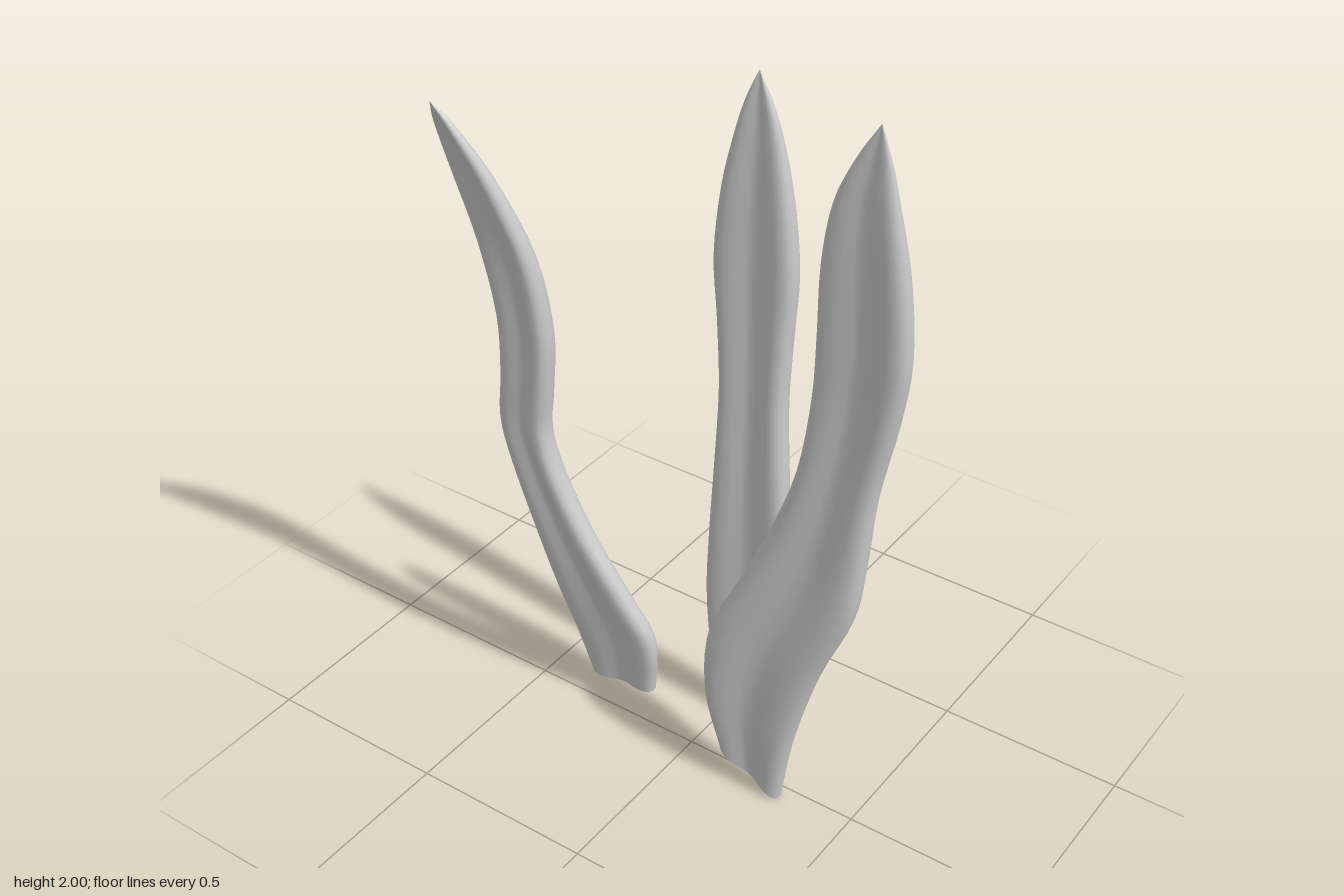
import * as THREE from 'three';

// Half outline of the blade section: [position across the width -1..1, share of half thickness].
// Rounded rims with a thinner waist between them.
const HALF = [
  [-1, 0.3], [-0.93, 0.72], [-0.8, 0.97], [-0.62, 1], [-0.4, 0.85], [-0.18, 0.6], [0, 0.5],
  [0.18, 0.6], [0.4, 0.85], [0.62, 1], [0.8, 0.97], [0.93, 0.72], [1, 0.3],
];
const SECTION = [...HALF, ...HALF.map(([u, v]) => [-u, -v])];

// Stations from root to tip: front rim z, y, x, back rim z, y, x, half thickness.
const BLADES = {
  frontBlade: [
    [0.305, 0.005, -0.037, 0.13, 0.1, -0.045, 0.024],
    [0.34, 0.22, -0.042, 0.085, 0.3, -0.054, 0.031],
    [0.405, 0.46, -0.04, 0.1, 0.5, -0.052, 0.033],
    [0.49, 0.68, -0.033, 0.18, 0.68, -0.04, 0.033],
    [0.513, 0.85, -0.026, 0.253, 0.85, -0.03, 0.033],
    [0.53, 1.05, -0.023, 0.32, 1.05, -0.024, 0.033],
    [0.575, 1.27, -0.028, 0.354, 1.27, -0.025, 0.033],
    [0.6, 1.45, -0.038, 0.365, 1.45, -0.032, 0.033],
    [0.59, 1.65, -0.05, 0.374, 1.63, -0.044, 0.029],
    [0.56, 1.82, -0.058, 0.403, 1.79, -0.056, 0.019],
    [0.537, 1.92, -0.061, 0.455, 1.91, -0.06, 0.009],
    [0.51, 2, -0.063, 0.51, 2, -0.063, 0],
  ],
  middleBlade: [
    [0.15, 0.05, 0.172, -0.022, 0.05, 0.172, 0.026],
    [0.175, 0.2, 0.172, -0.05, 0.2, 0.172, 0.031],
    [0.188, 0.4, 0.172, -0.065, 0.4, 0.172, 0.033],
    [0.182, 0.6, 0.172, -0.058, 0.6, 0.172, 0.033],
    [0.168, 0.82, 0.172, -0.043, 0.82, 0.172, 0.033],
    [0.158, 1.05, 0.172, -0.03, 1.05, 0.172, 0.033],
    [0.168, 1.25, 0.172, -0.038, 1.25, 0.172, 0.033],
    [0.178, 1.42, 0.172, -0.05, 1.42, 0.172, 0.032],
    [0.16, 1.6, 0.172, -0.032, 1.6, 0.172, 0.027],
    [0.128, 1.75, 0.172, 0.002, 1.75, 0.172, 0.017],
    [0.097, 1.84, 0.172, 0.03, 1.84, 0.172, 0.009],
    [0.062, 1.91, 0.172, 0.062, 1.91, 0.172, 0],
  ],
  backBlade: [
    [-0.148, 0.09, 0.036, -0.35, 0.065, 0.04, 0.022],
    [-0.13, 0.27, 0.012, -0.39, 0.22, 0.024, 0.029],
    [-0.19, 0.41, -0.015, -0.43, 0.37, 0, 0.03],
    [-0.29, 0.6, -0.045, -0.48, 0.58, -0.025, 0.031],
    [-0.36, 0.77, -0.064, -0.53, 0.77, -0.038, 0.031],
    [-0.388, 0.9, -0.073, -0.549, 0.89, -0.045, 0.031],
    [-0.373, 1.03, -0.079, -0.533, 1.03, -0.052, 0.031],
    [-0.358, 1.2, -0.087, -0.53, 1.2, -0.058, 0.031],
    [-0.38, 1.4, -0.108, -0.565, 1.41, -0.075, 0.028],
    [-0.45, 1.6, -0.15, -0.596, 1.6, -0.118, 0.02],
    [-0.525, 1.74, -0.187, -0.597, 1.74, -0.17, 0.01],
    [-0.578, 1.805, -0.205, -0.578, 1.805, -0.205, 0],
  ],
};

// Lofts the section along smooth curves through the stations.
function bladeGeometry(stations, rings = 44) {
  const spline = (pick) => new THREE.CatmullRomCurve3(stations.map(pick), false, 'catmullrom', 0.5);
  const front = spline((s) => new THREE.Vector3(s[2], s[1], s[0]));
  const back = spline((s) => new THREE.Vector3(s[5], s[4], s[3]));
  const thick = spline((s, i) => new THREE.Vector3(s[6], i, 0));
  const n = SECTION.length;
  const positions = [];
  const index = [];
  const side = new THREE.Vector3(1, 0, 0);
  for (let i = 0; i <= rings; i++) {
    const t = i / rings;
    const f = front.getPoint(t);
    const b = back.getPoint(t);
    const mid = f.clone().add(b).multiplyScalar(0.5);
    const half = b.clone().sub(f).multiplyScalar(0.5);
    const along = front.getTangent(t).add(back.getTangent(t));
    const normal = half.clone().cross(along);
    if (i < rings) side.copy(normal.normalize());
    const h = Math.max(0, thick.getPoint(t).x);
    for (const [u, v] of SECTION) {
      const p = mid.clone().addScaledVector(half, u).addScaledVector(side, h * v);
      positions.push(p.x, p.y, p.z);
    }
  }
  for (let i = 0; i < rings; i++) {
    for (let j = 0; j < n; j++) {
      const a = i * n + j;
      const b = i * n + ((j + 1) % n);
      index.push(a, b, b + n);
      if (i < rings - 1) index.push(a, b + n, a + n);
    }
  }
  // flat root cap with its own vertices, so its edge stays sharp
  const base = positions.length / 3;
  const root = positions.slice(0, n * 3);
  positions.push(...root);
  const [s] = stations;
  positions.push((s[2] + s[5]) / 2, (s[1] + s[4]) / 2, (s[0] + s[3]) / 2);
  for (let j = 0; j < n; j++) index.push(base + n, base + ((j + 1) % n), base + j);

  const geometry = new THREE.BufferGeometry();
  geometry.setAttribute('position', new THREE.Float32BufferAttribute(positions, 3));
  geometry.setIndex(index);
  geometry.computeVertexNormals();
  return geometry;
}

export function createModel() {
  const group = new THREE.Group();
  group.name = 'grassBlades';
  const material = new THREE.MeshStandardMaterial({ color: 0xcccccc });
  for (const [name, stations] of Object.entries(BLADES)) {
    const blade = new THREE.Mesh(bladeGeometry(stations), material);
    blade.name = name;
    group.add(blade);
  }
  return group;
}
